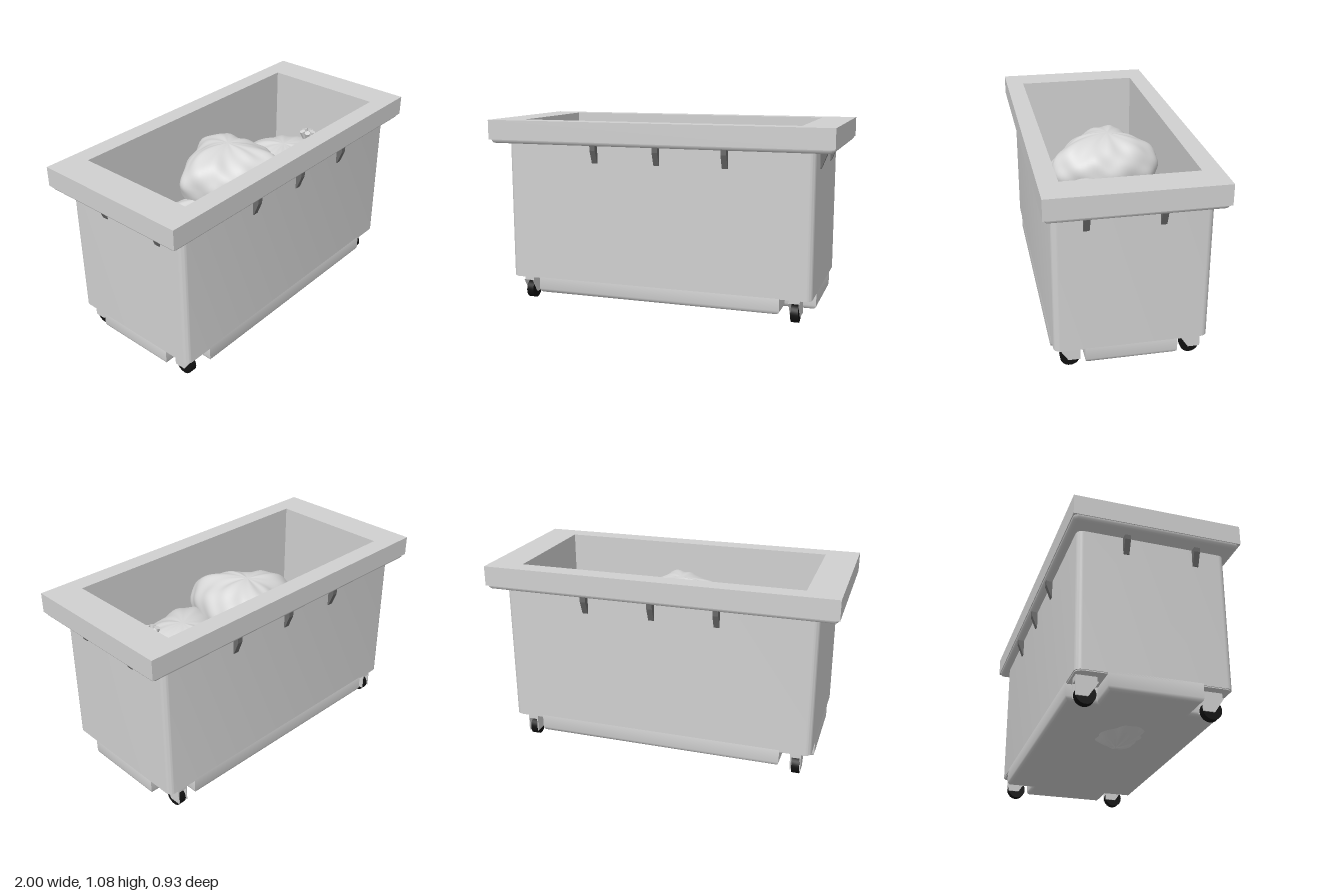
import * as THREE from 'three';
import { mergeVertices, toCreasedNormals } from 'three/addons/utils/BufferGeometryUtils.js';

const mat = (name, color) => Object.assign(new THREE.MeshStandardMaterial({ color }), { name });

// Rectangle outline with rounded corners, centred on the origin
function roundRect(hx, hz, r, Type = THREE.Shape) {
  const s = new Type();
  if (r === 0) {
    return s.setFromPoints([[-hx, -hz], [hx, -hz], [hx, hz], [-hx, hz]].map(p => new THREE.Vector2(...p)));
  }
  s.moveTo(-hx + r, -hz);
  s.lineTo(hx - r, -hz).absarc(hx - r, -hz + r, r, -Math.PI / 2, 0);
  s.lineTo(hx, hz - r).absarc(hx - r, hz - r, r, 0, Math.PI / 2);
  s.lineTo(-hx + r, hz).absarc(-hx + r, hz - r, r, Math.PI / 2, Math.PI);
  s.lineTo(-hx, -hz + r).absarc(-hx + r, -hz + r, r, Math.PI, Math.PI * 1.5);
  return s;
}

// Raise a floor-plan shape from y0 to y1, with an optional edge bevel inside that height
function raise(shape, y0, y1, bevel = 0) {
  const g = new THREE.ExtrudeGeometry(shape, {
    depth: y1 - y0 - 2 * bevel, curveSegments: 5, bevelEnabled: bevel > 0,
    bevelThickness: bevel, bevelSize: bevel, bevelSegments: 3
  });
  g.rotateX(-Math.PI / 2).translate(0, y0 + bevel, 0);
  return toCreasedNormals(g, 0.6);
}

// Soft sack: a sphere stretched over a plan outline, with uneven folds
function sackGeometry({ outline, centre, y, up, down, power, seed }) {
  const curve = new THREE.CatmullRomCurve3(
    outline.map(([x, z]) => new THREE.Vector3(x, 0, z)), true, 'centripetal');
  const segs = 72, rings = 44;
  const edge = curve.getSpacedPoints(segs);
  const g = new THREE.SphereGeometry(1, segs, rings);
  const p = g.attributes.position;
  for (let j = 0; j <= rings; j++) {
    for (let i = 0; i <= segs; i++) {
      const phi = Math.PI * (0.5 - j / rings);
      const a = (i % segs) / segs * Math.PI * 2;
      const c = Math.max(0, Math.cos(phi)), s = Math.sin(phi);
      const fold = c * (0.025 * Math.sin(3 * a + 4 * s + seed) * Math.abs(s)
        + 0.014 * Math.sin(7 * a - 6 * s + seed * 2) + 0.01 * Math.sin(11 * a + 9 * s + seed * 3));
      const r = Math.pow(c, s > 0 ? 0.85 : power) * (1 + fold);
      const e = edge[i % segs];
      p.setXYZ(j * (segs + 1) + i,
        centre[0] + (e.x - centre[0]) * r,
        y + s * (s > 0 ? up : down) + fold * 0.6 * Math.abs(s),
        centre[1] + (e.z - centre[1]) * r);
    }
  }
  g.deleteAttribute('uv');
  g.deleteAttribute('normal');
  const merged = mergeVertices(g, 1e-5);
  merged.computeVertexNormals();
  return merged;
}

export function createModel() {
  const root = new THREE.Group();
  root.name = 'wheeledBin';
  const shell = mat('bin grey', 0xd0d0d0);
  const sackMat = mat('sack grey', 0xd6d6d6);
  const ribMat = mat('rib dark grey', 0x6c6c6c);
  const metal = mat('bracket grey', 0xcfcfcf);
  const rubber = mat('wheel black', 0x111111);

  const add = (name, geometry, material, parent = root) => {
    const m = new THREE.Mesh(geometry, material);
    m.name = name;
    parent.add(m);
    return m;
  };

  // Bin walls, with the cavity as a hole
  const walls = roundRect(0.895, 0.415, 0.035);
  walls.holes.push(roundRect(0.81, 0.36, 0, THREE.Path));
  add('walls', raise(walls, 0.15, 0.97), shell);
  add('cavityFloor', raise(roundRect(0.89, 0.41, 0.035), 0.145, 0.17), shell);

  // Base with its four corners cut away for the casters
  const b = 0.025, X = 0.895 - b, Z = 0.415 - b, nx = 0.72 - b, nz = 0.25 - b;
  const base = new THREE.Shape([
    [-nx, -Z], [nx, -Z], [nx, -nz], [X, -nz], [X, nz], [nx, nz],
    [nx, Z], [-nx, Z], [-nx, nz], [-X, nz], [-X, -nz], [-nx, -nz]
  ].map(q => new THREE.Vector2(...q)));
  add('base', raise(base, 0.057, 0.185, b), shell).scale.set(1, 1, 1);

  // Wide rim and its softened lower edge
  const rim = roundRect(1, 0.465, 0);
  rim.holes.push(roundRect(0.81, 0.36, 0, THREE.Path));
  add('rim', raise(rim, 0.967, 1.08), shell);
  const lip = roundRect(0.973, 0.438, 0.005);
  lip.holes.push(roundRect(0.85, 0.395, 0, THREE.Path));
  add('rimLowerEdge', raise(lip, 0.945, 1.0, 0.022), shell);

  // Tapered ribs below the rim; the profile reaches outward along +z
  const ribShape = new THREE.Shape([[-0.01, 0.845], [0.005, 0.845], [0.035, 0.92], [0.037, 0.955], [-0.01, 0.955]]
    .map(q => new THREE.Vector2(...q)));
  const ribGeo = new THREE.ExtrudeGeometry(ribShape, { depth: 0.032, bevelEnabled: false });
  ribGeo.translate(0, 0, -0.016).rotateY(-Math.PI / 2);
  const rib = (x, z, turn) => {
    const m = add('rib', ribGeo, ribMat);
    m.position.set(x, 0, z);
    m.rotation.y = turn;
  };
  for (const x of [-0.35, 0.02, 0.41]) {
    rib(x, 0.415, 0);
    rib(x, -0.415, Math.PI);
  }
  for (const z of [0.24, -0.15]) {
    rib(0.895, z, Math.PI / 2);
    rib(-0.895, z, -Math.PI / 2);
  }

  // Casters: wheel, two side plates and a mounting plate
  const plate = new THREE.Shape([[-0.065, 0.12], [-0.01, 0.038], [0.055, 0.038], [0.055, 0.12]]
    .map(q => new THREE.Vector2(...q)));
  const plateGeo = new THREE.ExtrudeGeometry(plate, { depth: 0.006, bevelEnabled: false });
  plateGeo.translate(0, 0, -0.003).rotateY(Math.PI / 2);
  const wheelGeo = toCreasedNormals(new THREE.CylinderGeometry(0.053, 0.053, 0.042, 28).rotateZ(Math.PI / 2), 0.6);
  for (const x of [-0.81, 0.795]) {
    for (const z of [0.32, -0.343]) {
      const caster = new THREE.Group();
      caster.name = 'caster';
      caster.position.set(x, 0, z);
      root.add(caster);
      add('wheel', wheelGeo, rubber, caster).position.y = 0.053;
      for (const side of [-1, 1]) add('forkPlate', plateGeo, metal, caster).position.x = side * 0.027;
      add('mountingPlate', new THREE.BoxGeometry(0.06, 0.03, 0.11), metal, caster).position.y = 0.132;
    }
  }

  // Three sacks piled in the cavity; the left one bulges through the floor
  const sacks = [
    { name: 'leftSack', centre: [-0.3, -0.02], y: 0.38, up: 0.36, down: 0.38, power: 1.5, seed: 1,
      outline: [[-0.8, 0.05], [-0.72, 0.22], [-0.62, 0.3], [-0.33, 0.34], [-0.12, 0.3], [0, 0.27], [0.09, 0.15],
        [0.05, -0.1], [-0.12, -0.24], [-0.28, -0.27], [-0.55, -0.24], [-0.74, -0.06]] },
    { name: 'rightSack', centre: [0.4, 0.02], y: 0.5, up: 0.34, down: 0.35, power: 0.9, seed: 2.6,
      outline: [[0, 0.1], [0.01, 0.29], [0.1, 0.355], [0.39, 0.355], [0.6, 0.25], [0.77, 0.1], [0.795, -0.05],
        [0.73, -0.18], [0.58, -0.28], [0.42, -0.32], [0.25, -0.29], [0.13, -0.15]] },
    { name: 'topSack', centre: [-0.04, -0.05], y: 0.8, up: 0.19, down: 0.22, power: 0.8, seed: 4.3,
      outline: [[-0.36, -0.12], [-0.3, 0.05], [-0.15, 0.2], [-0.02, 0.27], [0.08, 0.3], [0.14, 0.24], [0.22, 0.02],
        [0.2, -0.14], [0.14, -0.28], [0.04, -0.34], [-0.08, -0.29], [-0.2, -0.24]] }
  ];
  for (const s of sacks) add(s.name, sackGeometry(s), sackMat);

  // Gathered ends of the tied sacks, flaring from a narrow neck
  const frillGeo = new THREE.CylinderGeometry(0.019, 0.007, 0.1, 6).translate(0, 0.05, 0);
  const tie = (name, x, y, z, leanX, leanZ, spread) => {
    const g = new THREE.Group();
    g.name = name;
    g.position.set(x, y, z);
    root.add(g);
    for (let i = 0; i < 5; i++) {
      const a = i / 5 * Math.PI * 2;
      const dir = new THREE.Vector3(leanX + spread * Math.cos(a), 1, leanZ + spread * Math.sin(a)).normalize();
      add('frill', frillGeo, sackMat, g).quaternion.setFromUnitVectors(new THREE.Vector3(0, 1, 0), dir);
    }
  };
  tie('rightSackTie', 0.59, 0.775, 0.06, 0, 0, 0.35);
  tie('leftSackTie', -0.25, 0.7, 0.11, -0.5, 0.2, 0.7);

  return root;
}
